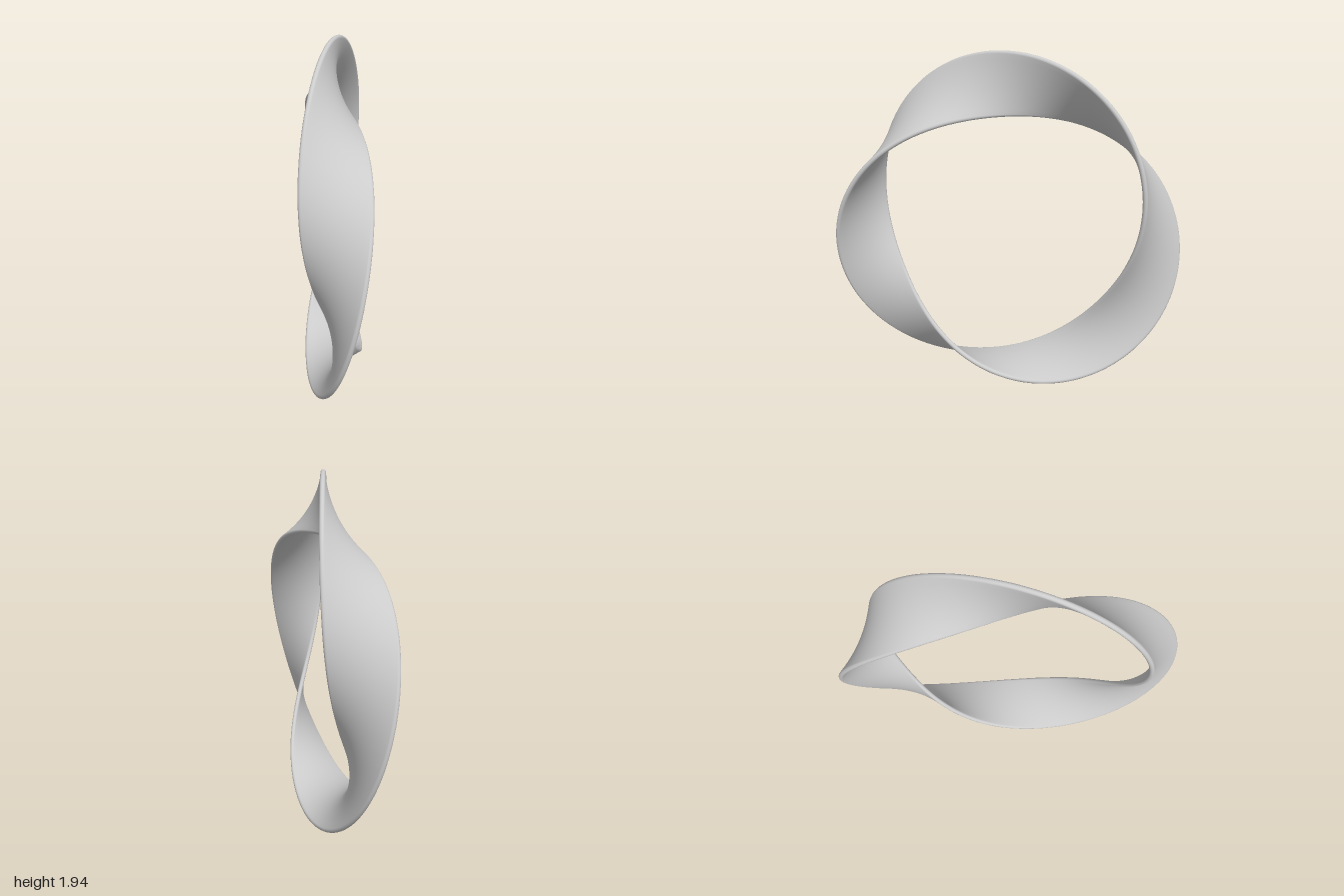
import * as THREE from 'three';

const RADIUS = 0.859;      // centre line of the ring
const CENTRE_Y = 0.9045;
const HALF_WIDTH = 0.177;  // band half width
const HALF_THICK = 0.015;  // band half thickness, also the rim radius
const HALF_TWISTS = 3;
const RINGS = 360;

// Cross-section with rounded rims: [across the width, through the thickness].
// The second half is the first half turned by 180 degrees.
function bandSection(capSteps = 8, flatSteps = 12) {
  const inner = HALF_WIDTH - HALF_THICK;
  const half = [];
  for (let i = 0; i <= capSteps; i++) {
    const a = -Math.PI / 2 + (Math.PI * i) / capSteps;
    half.push([inner + HALF_THICK * Math.cos(a), HALF_THICK * Math.sin(a)]);
  }
  for (let i = 1; i < flatSteps; i++) {
    half.push([inner * (1 - (2 * i) / flatSteps), HALF_THICK]);
  }
  return [...half, ...half.map(([u, v]) => [-u, -v])];
}

// Sweep the section round the ring while it turns by three half twists
function twistedBandGeometry() {
  const section = bandSection();
  const M = section.length;
  const positions = [];
  const indices = [];

  for (let i = 0; i < RINGS; i++) {
    const theta = (i / RINGS) * Math.PI * 2;
    const phi = (theta * HALF_TWISTS) / 2;
    const c = Math.cos(phi);
    const s = Math.sin(phi);
    for (const [u, v] of section) {
      const r = RADIUS + u * c + v * s;
      positions.push(-u * s + v * c, CENTRE_Y + r * Math.cos(theta), r * Math.sin(theta));
    }
  }

  // The last ring joins the first one half a section further on
  const index = (i, j) => (i < RINGS ? i * M + (j % M) : (j + M / 2) % M);
  for (let i = 0; i < RINGS; i++) {
    for (let j = 0; j < M; j++) {
      const a = index(i, j);
      const b = index(i + 1, j);
      const c = index(i + 1, j + 1);
      const d = index(i, j + 1);
      indices.push(a, b, c, a, c, d);
    }
  }

  const geometry = new THREE.BufferGeometry();
  geometry.setAttribute('position', new THREE.Float32BufferAttribute(positions, 3));
  geometry.setIndex(indices);
  geometry.computeVertexNormals();
  return geometry;
}

export function createModel() {
  const group = new THREE.Group();
  group.name = 'twistedRing';
  const band = new THREE.Mesh(
    twistedBandGeometry(),
    new THREE.MeshStandardMaterial({ color: 0xcccccc })
  );
  band.name = 'twistedBand';
  group.add(band);
  return group;
}
